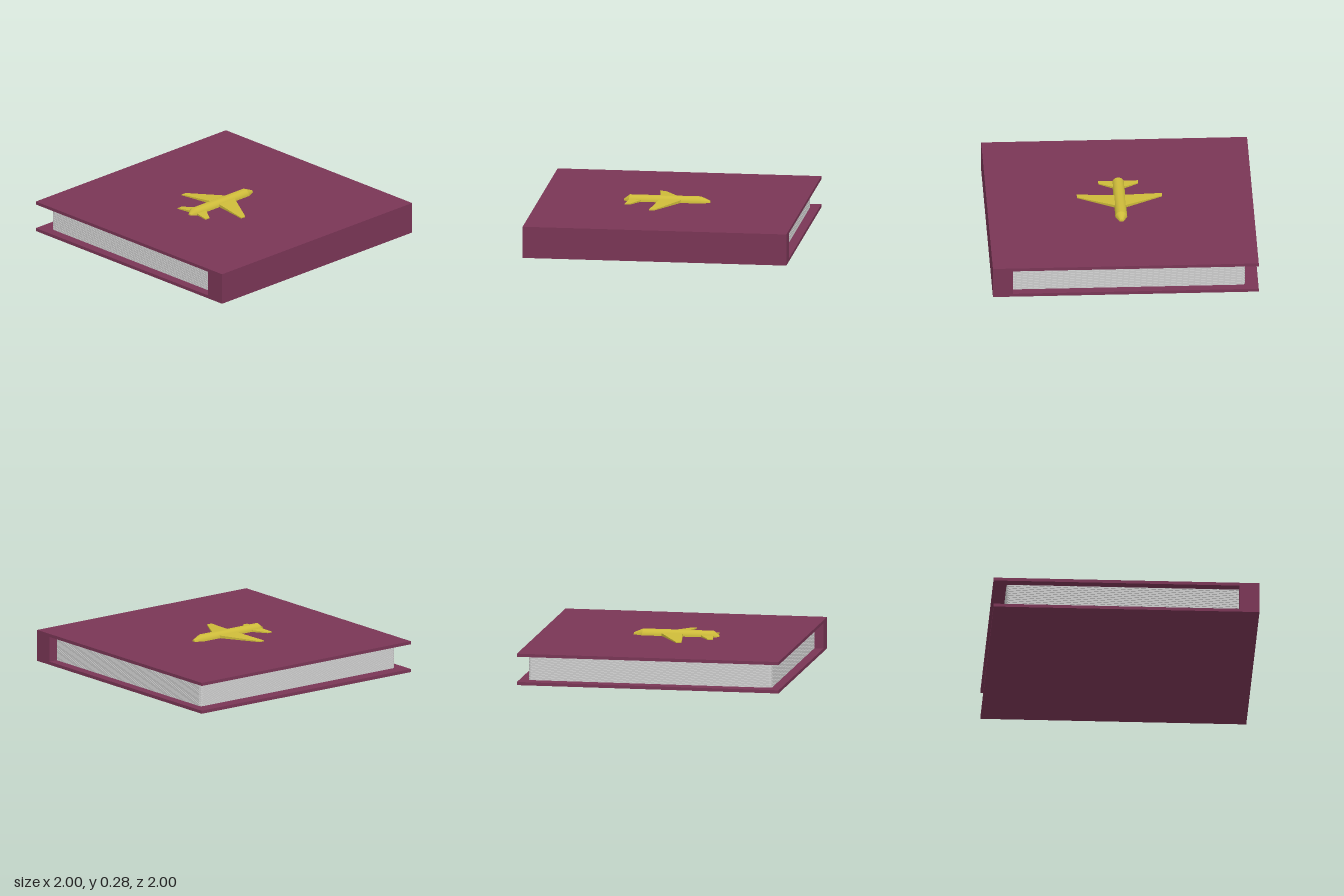
import * as THREE from 'three';
import { toCreasedNormals } from 'three/addons/utils/BufferGeometryUtils.js';
import { ConvexGeometry } from 'three/addons/geometries/ConvexGeometry.js';

const HEIGHT = 0.24, BOARD = 0.024, SPINE = 0.15;

const makeMaterial = (name, color) => {
  const material = new THREE.MeshStandardMaterial({ color });
  material.name = name;
  return material;
};

function addMesh(parent, name, geometry, material, x = 0, y = 0, z = 0) {
  const mesh = new THREE.Mesh(geometry, material);
  mesh.name = name;
  mesh.position.set(x, y, z);
  parent.add(mesh);
  return mesh;
}

// Swept, tapered wing: root and tip are [x, z leading, z trailing, top height]
function wingGeometry(root, tip, side) {
  const points = [];
  for (const [x, zLead, zTrail, top] of [root, tip]) {
    for (const z of [zLead, zTrail]) {
      points.push(new THREE.Vector3(side * x, 0, z), new THREE.Vector3(side * x, top, z));
    }
  }
  return new ConvexGeometry(points);
}

export function createModel() {
  const book = new THREE.Group();
  book.name = 'book';
  const burgundy = makeMaterial('burgundy cover', 0x7a3656);
  const paper = makeMaterial('paper', 0xcccccc);
  const gold = makeMaterial('gold emblem', 0xcdbb3a);

  // Cover boards and solid spine
  const board = new THREE.BoxGeometry(2 - SPINE, BOARD, 2);
  addMesh(book, 'bottomCover', board, burgundy, -SPINE / 2, BOARD / 2, 0);
  addMesh(book, 'topCover', board, burgundy, -SPINE / 2, HEIGHT - BOARD / 2, 0);
  addMesh(book, 'spine', new THREE.BoxGeometry(SPINE, HEIGHT, 2), burgundy, 1 - SPINE / 2, HEIGHT / 2, 0);

  // Stack of sheets with clipped outer corners
  const pages = new THREE.Group();
  pages.name = 'pages';
  book.add(pages);
  const outline = new THREE.Shape([
    [0.85, -0.93], [0.85, 0.93], [-0.88, 0.93], [-0.894, 0.924],
    [-0.9, 0.91], [-0.9, -0.91], [-0.894, -0.924], [-0.88, -0.93],
  ].map(([x, y]) => new THREE.Vector2(x, y)));
  const count = 36, pitch = (HEIGHT - 2 * BOARD) / count;
  const sheet = new THREE.ExtrudeGeometry(outline, { depth: pitch * 0.85, bevelEnabled: false });
  sheet.rotateX(-Math.PI / 2);
  for (let i = 0; i < count; i++) {
    addMesh(pages, 'page', sheet, paper, 0, BOARD + i * pitch, 0);
  }

  // Raised aeroplane on the top cover, nose towards the back edge
  const plane = new THREE.Group();
  plane.name = 'aeroplaneEmblem';
  plane.position.y = HEIGHT;
  book.add(plane);

  // Half-round fuselage with blunt nose and tapered tail
  const profile = [[0, -0.292], [0.015, -0.29], [0.045, -0.22], [0.045, 0.32], [0.012, 0.362], [0, 0.363]]
    .map(([r, z]) => new THREE.Vector2(r, z));
  const fuselage = new THREE.LatheGeometry(profile, 16, Math.PI / 2, Math.PI);
  fuselage.rotateX(Math.PI / 2);
  addMesh(plane, 'fuselage', toCreasedNormals(fuselage, 0.4), gold);

  // Main wings and tailplanes, mirrored
  for (const [side, label] of [[1, 'left'], [-1, 'right']]) {
    addMesh(plane, label + 'Wing',
      wingGeometry([0.02, -0.085, 0.087, 0.022], [0.32, 0.09, 0.132, 0.007], side), gold);
    addMesh(plane, label + 'Tailplane',
      wingGeometry([0.02, 0.215, 0.32, 0.016], [0.15, 0.3, 0.34, 0.007], side), gold);
  }
  return book;
}
